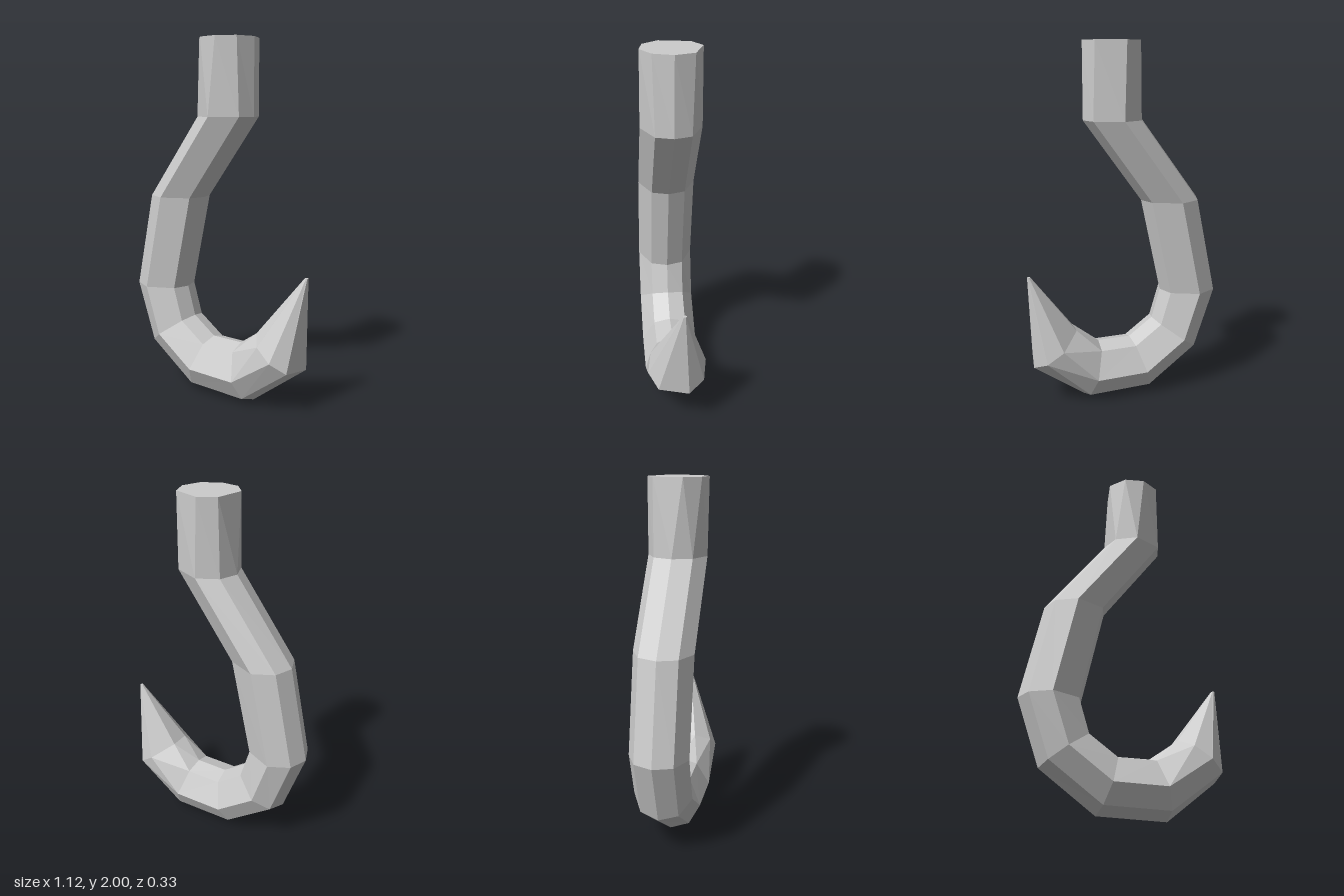
import * as THREE from 'three';

// Cross-section angles in degrees: 0 = outside of the bend, 180 = inside, 90 = front
const REGULAR = [0, 40, 85, 145, 180, 215, 275, 320];
const SHANK = [20, 60, 100, 140, 180, 220, 280, 318];
const TWISTED = [-20, 42, 80, 120, 160, 200, 260, 300];
const RADIUS = 0.165;

// Each section: outer x, y, inner x, y, angles, half depth, z offset
const SECTIONS = [
  [-0.105, 2, 0.225, 2, SHANK],
  [-0.11, 1.585, 0.225, 1.585, REGULAR],
  [-0.45, 1.13, -0.11, 1.13, REGULAR],
  [-0.565, 0.59, -0.23, 0.59, REGULAR],
  [-0.44, 0.23, -0.18, 0.42, REGULAR],
  [-0.14, 0.01, -0.04, 0.32, REGULAR],
  [0.24, 0, 0.15, 0.32, REGULAR],
  [0.55, 0.225, 0.285, 0.425, TWISTED],
  [0.56, 0.75, 0.54, 0.75, TWISTED, 0.01, -0.025],
];

function ringPoints([ox, oy, ix, iy, angles, depth = RADIUS, z = 0]) {
  return angles.map((deg) => {
    const a = THREE.MathUtils.degToRad(deg);
    const t = (1 + Math.cos(a)) / 2;
    return [ix + (ox - ix) * t, iy + (oy - iy) * t, z + depth * Math.sin(a)];
  });
}

// Skin neighbouring sections and close both ends
function loft(sections) {
  const n = sections[0][4].length;
  const positions = sections.flatMap((s) => ringPoints(s).flat());
  const index = [];
  const last = (sections.length - 1) * n;
  for (let i = 0; i < last; i += n) {
    for (let j = 0; j < n; j++) {
      const k = (j + 1) % n;
      index.push(i + j, i + n + j, i + n + k, i + j, i + n + k, i + k);
    }
  }
  for (let j = 1; j < n - 1; j++) {
    index.push(0, j, j + 1, last, last + j + 1, last + j);
  }
  const indexed = new THREE.BufferGeometry();
  indexed.setAttribute('position', new THREE.Float32BufferAttribute(positions, 3));
  indexed.setIndex(index);
  const geometry = indexed.toNonIndexed();
  geometry.computeVertexNormals();
  return geometry;
}

export function createModel() {
  const model = new THREE.Group();
  model.name = 'hook';
  const material = new THREE.MeshStandardMaterial({ color: 0xcccccc, flatShading: true });

  // Shank, bend and pointed tip form one continuous faceted bar
  const bar = new THREE.Mesh(loft(SECTIONS), material);
  bar.name = 'hookBar';
  model.add(bar);
  return model;
}
